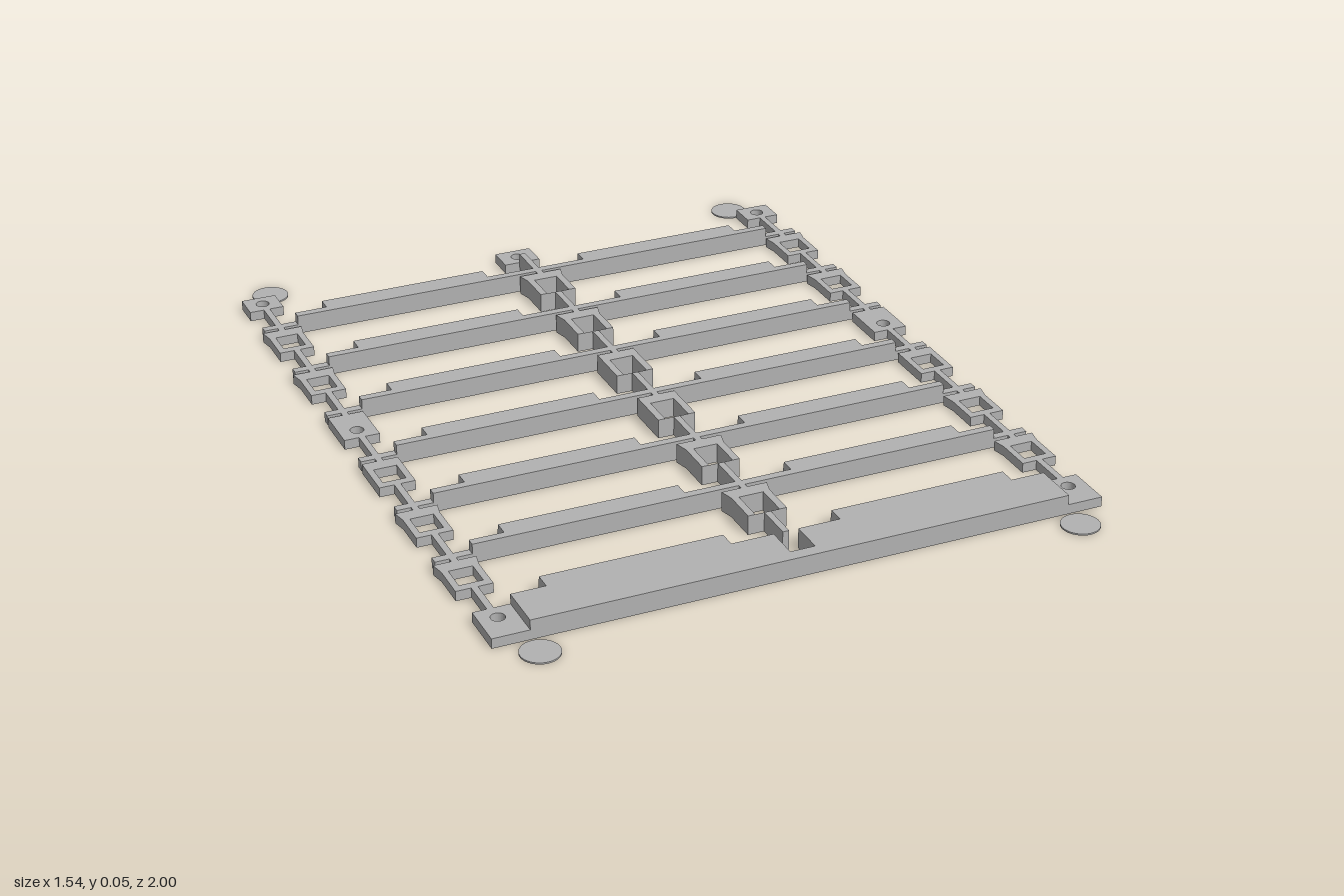
import * as THREE from 'three';

const LOW = 0.025, HIGH = 0.05;      // side parts and centre parts
const SIDE = 0.717, STEP = 0.252, FIRST = -0.712;

export function createModel() {
  const model = new THREE.Group();
  model.name = 'hingedSlatMat';
  const grey = new THREE.MeshStandardMaterial({ color: 0xb2b2b2 });

  const add = (geometry, name, x = 0, y = 0, z = 0) => {
    const mesh = new THREE.Mesh(geometry, grey);
    mesh.name = name;
    mesh.position.set(x, y, z);
    model.add(mesh);
    return mesh;
  };
  const box = (name, x0, x1, z0, z1, h) =>
    add(new THREE.BoxGeometry(x1 - x0, h, z1 - z0), name, (x0 + x1) / 2, h / 2, (z0 + z1) / 2);

  // Flat plate from [x, z] outline points, extruded upwards
  const toPoints = (pts) => pts.map(([x, z]) => new THREE.Vector2(x, -z));
  const plate = (name, outline, h, x, z, hole) => {
    const shape = new THREE.Shape(toPoints(outline));
    if (hole) shape.holes.push(hole);
    const g = new THREE.ExtrudeGeometry(shape, { depth: h, bevelEnabled: false, curveSegments: 16 });
    g.rotateX(-Math.PI / 2);
    return add(g, name, x, 0, z);
  };
  const rect = (x0, x1, z0, z1) => [[x0, z0], [x0, z1], [x1, z1], [x1, z0]];
  const roundHole = (x, z) => new THREE.Path().absarc(x, -z, 0.017, 0, Math.PI * 2, true);

  // Profile given as [z, y], swept along x
  const sweep = (name, profile, x0, x1) => {
    const shape = new THREE.Shape(profile.map(([z, y]) => new THREE.Vector2(-z, y)));
    const g = new THREE.ExtrudeGeometry(shape, { depth: x1 - x0, bevelEnabled: false });
    g.rotateY(Math.PI / 2);
    return add(g, name, x0, 0, 0);
  };
  const ramp = (x, half, z0, z1, h) =>
    sweep('hingeRamp', [[z0, 0], [z1, 0], [z1, h]], x - half, x + half);

  // Wide slat blocks with a slightly leaning back face
  const slatBlocks = (back, front) => {
    for (const s of [-1, 1]) {
      const x0 = s < 0 ? -0.585 : 0.137, x1 = s < 0 ? -0.137 : 0.585;
      sweep('slat', [[back, 0], [front, 0], [front, HIGH], [back + 0.007, HIGH]], x0, x1);
    }
  };

  // Rods along z at both sides and the centre
  const rods = (z0, z1) => {
    for (const x of [-SIDE, 0, SIDE]) box('rod', x - 0.008, x + 0.008, z0, z1, x ? LOW : HIGH);
  };

  // Hinge links: closed window at the sides, open fork in the centre
  const sideLink = (x, z, flared) => {
    const w = 0.045, f = flared ? 0.052 : w;
    const window = new THREE.Path(toPoints(rect(-0.029, 0.029, 0.037, 0.103)));
    plate('sideHinge', [[-f, 0], [-w, 0.035], [-w, 0.124], [w, 0.124], [w, 0.035], [f, 0]], LOW, x, z, window);
    ramp(x, 0.029, z + 0.08, z + 0.103, LOW);
  };
  const centreLink = (z, flared) => {
    const w = 0.049, f = flared ? 0.058 : w, i = 0.031;
    plate('centreHinge', [[-f, 0], [-w, 0.035], [-w, 0.124], [-i, 0.124], [-i, 0.037],
      [i, 0.037], [i, 0.124], [w, 0.124], [w, 0.035], [f, 0]], HIGH, 0, z);
    ramp(0, i, z + 0.08, z + 0.124, HIGH);
  };

  // Rear tabs with round holes
  for (const x of [-SIDE, 0, SIDE]) {
    const w = x ? 0.045 : 0.049;
    plate('rearTab', rect(-w, w, -0.037, 0.037), LOW, x, -0.867, roundHole(0, 0));
  }
  rods(-0.83, FIRST - 0.021);

  // Six repeating rows: crossbar, slats, links and rods
  for (let i = 0; i < 6; i++) {
    const front = FIRST + STEP * i, link = front + 0.012;
    const flared = i !== 2 && i !== 3;
    box('crossbar', -0.67, 0.67, front - 0.021, front, HIGH);
    slatBlocks(front - 0.066, front);
    rods(front, link);
    for (const s of [-1, 1]) {
      box('crossbarEnd', s < 0 ? -0.76 : 0.67, s < 0 ? -0.67 : 0.76, front - 0.021, front, LOW);
      if (i === 2) {
        plate('sideTab', rect(-0.045, 0.045, 0, 0.124), LOW, s * SIDE, link, roundHole(0, 0.085));
      } else {
        sideLink(s * SIDE, link, flared);
      }
    }
    centreLink(link, flared);
    rods(link + 0.124, i < 5 ? front + STEP - 0.021 : 0.78);
  }

  // Front end bar with a centre notch and low drilled ends
  plate('frontBar', [[-0.67, 0.78], [-0.67, 0.897], [0.67, 0.897], [0.67, 0.78],
    [0.031, 0.78], [0.031, 0.865], [-0.031, 0.865], [-0.031, 0.78]], HIGH, 0, 0);
  slatBlocks(0.73, 0.785);
  ramp(0, 0.031, 0.812, 0.865, HIGH);
  for (const s of [-1, 1]) {
    plate('frontBarEnd', rect(-0.045, 0.045, 0.78, 0.897), LOW, s * 0.715, 0, roundHole(0, 0.82));
  }

  // Thin corner discs
  for (const x of [-0.67, 0.67]) {
    for (const z of [-0.953, 0.953]) {
      add(new THREE.CylinderGeometry(0.047, 0.047, 0.004, 32), 'cornerDisc', x, 0.002, z);
    }
  }
  return model;
}
